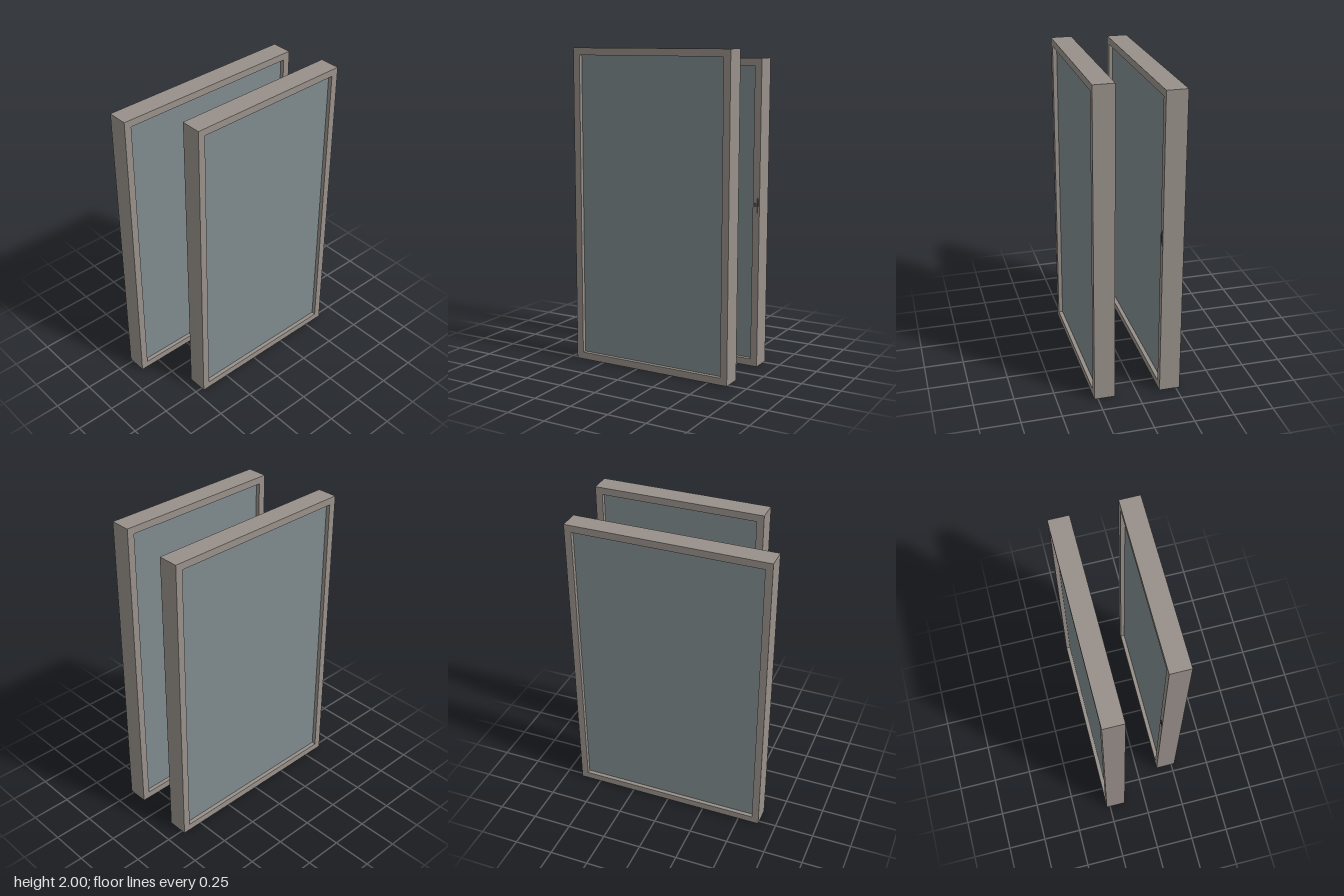
import * as THREE from 'three';

const frameMat = new THREE.MeshStandardMaterial({ color: 0x98908a });
const glassMat = new THREE.MeshStandardMaterial({ color: 0x7f8b8e });
const handleMat = new THREE.MeshStandardMaterial({ color: 0x55524f });

const DEPTH = 0.13;   // thickness of a sash along x
const BORDER = 0.045; // visible width of the frame
const RECESS = 0.026; // how far the glass sits behind each face

function addMesh(parent, name, geometry, material) {
  const mesh = new THREE.Mesh(geometry, material);
  mesh.name = name;
  parent.add(mesh);
  return mesh;
}

// Small bowed pull; its back lies on x = 0 and it swells towards +x
function createHandle() {
  const handle = new THREE.Group();
  handle.name = 'handle';
  const bow = new THREE.Shape();
  bow.moveTo(-0.002, -0.05);
  bow.lineTo(0, -0.05);
  bow.quadraticCurveTo(0.012, 0, 0, 0.05);
  bow.lineTo(-0.002, 0.05);
  const grip = addMesh(handle, 'grip',
    new THREE.ExtrudeGeometry(bow, { depth: 0.01, bevelEnabled: false, curveSegments: 10 }), handleMat);
  grip.position.z = -0.014;
  const latch = addMesh(handle, 'latch', new THREE.BoxGeometry(0.005, 0.024, 0.018), handleMat);
  latch.position.z = 0.005;
  return handle;
}

// One sash: rectangular frame in the yz plane with recessed glass
function createSash(name, height, width) {
  const sash = new THREE.Group();
  sash.name = name;
  const w = width / 2, b = BORDER;
  const outline = new THREE.Shape([[-w, 0], [w, 0], [w, height], [-w, height]]
    .map(([x, y]) => new THREE.Vector2(x, y)));
  outline.holes.push(new THREE.Path([[b - w, b], [b - w, height - b], [w - b, height - b], [w - b, b]]
    .map(([x, y]) => new THREE.Vector2(x, y))));
  const frame = new THREE.ExtrudeGeometry(outline, { depth: DEPTH, bevelEnabled: false });
  frame.translate(0, 0, -DEPTH / 2).rotateY(Math.PI / 2);
  addMesh(sash, 'frame', frame, frameMat);

  const glass = addMesh(sash, 'glass',
    new THREE.BoxGeometry(DEPTH - 2 * RECESS, height - 2 * b, width - 2 * b), glassMat);
  glass.position.y = height / 2;
  return sash;
}

export function createModel() {
  const model = new THREE.Group();
  model.name = 'slidingWindow';

  // Wider, lower sash on the -x side
  const wide = createSash('wideSash', 1.94, 1.276);
  wide.position.set(-0.209, 0, 0);
  const wideHandle = createHandle();
  wideHandle.position.set(DEPTH / 2, 1.04, -0.616);
  wide.add(wideHandle);

  // Narrower, taller sash on the +x side
  const tall = createSash('tallSash', 2, 1.08);
  tall.position.set(0.207, 0, -0.09);
  const tallHandle = createHandle();
  tallHandle.rotation.y = Math.PI;
  tallHandle.position.set(-DEPTH / 2, 1.07, 0.519);
  tall.add(tallHandle);

  model.add(wide, tall);
  return model;
}
